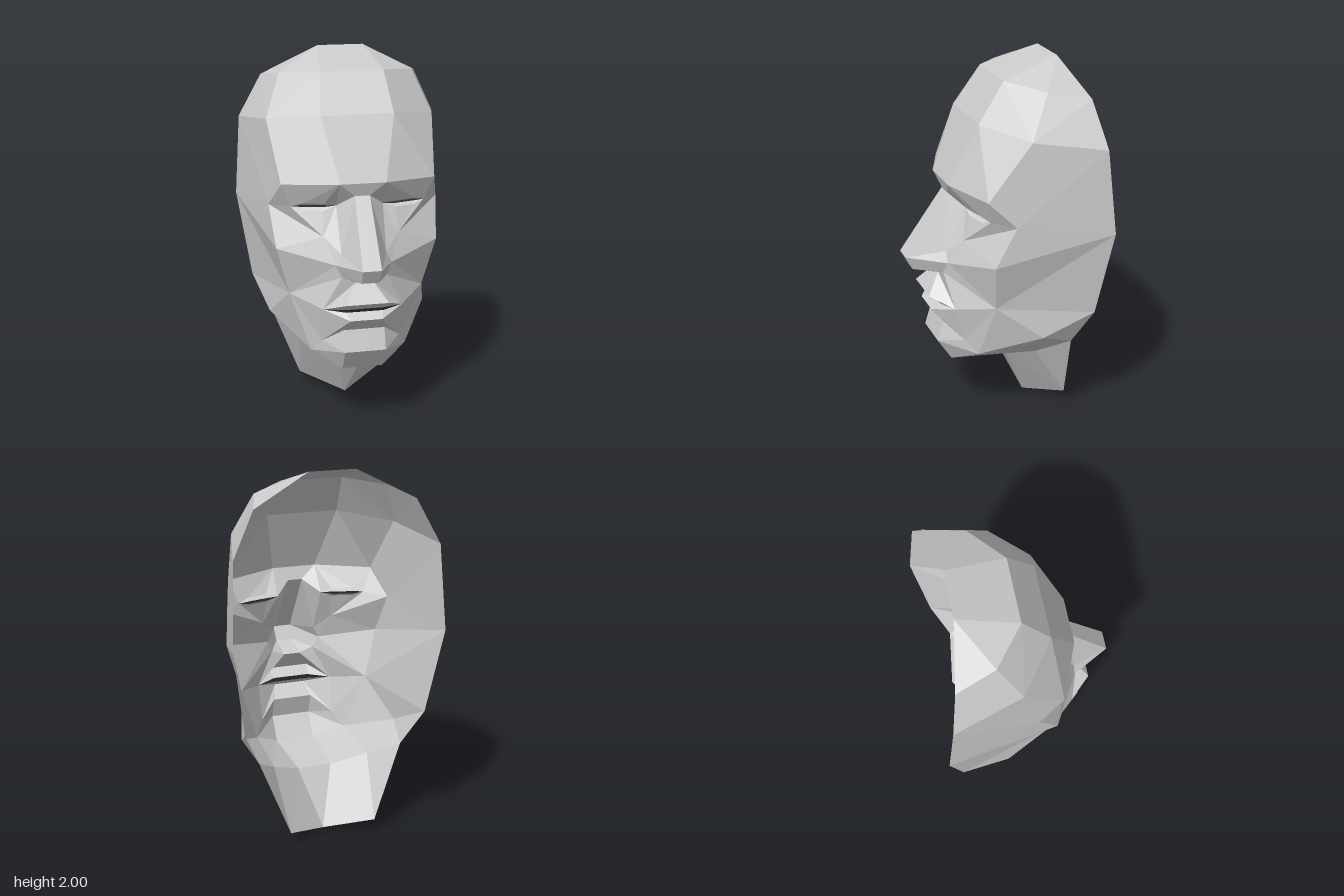
import * as THREE from 'three';

// Landmarks of the model's left half; every part is mirrored across x = 0.
const skull = {
  crown: [0.125, 2, -0.33], crownOuter: [0.43, 1.845, -0.39],
  hair: [0.17, 1.905, -0.022], hairOuter: [0.363, 1.88, -0.18],
  forehead: [0.195, 1.7, 0.12], temple: [0.45, 1.66, -0.067],
  sideTop: [0.55, 1.61, -0.435], sideMid: [0.572, 1.16, -0.482], sideLow: [0.5, 0.695, -0.415],
};
const eyes = {
  browIn: [0.122, 1.37, 0.265], browOut: [0.41, 1.357, 0.15],
  inner: [0.125, 1.235, 0.17], outer: [0.36, 1.23, 0.12], socketOut: [0.458, 1.22, 0.012],
  upper1: [0.19, 1.25, 0.18], upper2: [0.3, 1.25, 0.15],
  lower1: [0.19, 1.21, 0.17], lower2: [0.3, 1.21, 0.14],
  rimUp1: [0.19, 1.236, 0.155], rimUp2: [0.3, 1.236, 0.125],
  rimLow1: [0.19, 1.224, 0.15], rimLow2: [0.3, 1.224, 0.12],
};
const nose = {
  bridge: [0.04, 1.3, 0.243], tip: [0.05, 0.965, 0.48], tipLow: [0.045, 0.89, 0.442],
  wingTop: [0.12, 1, 0.28], wing: [0.15, 0.942, 0.28],
  wingLow: [0.12, 0.88, 0.295], base: [0.045, 0.85, 0.3],
};
const cheek = {
  front: [0.2, 1.08, 0.21], out: [0.435, 1.003, 0.12], low: [0.365, 0.74, 0.09],
};
const mouth = {
  corner: [0.213, 0.697, 0.262], upperLip: [0.115, 0.75, 0.376], upperIn: [0.1, 0.707, 0.32],
  lowerIn: [0.1, 0.688, 0.31], lowerLip: [0.085, 0.655, 0.355], crease: [0.11, 0.585, 0.295],
};
const jaw = {
  chinSide: [0.21, 0.505, 0.212], chinTop: [0.11, 0.47, 0.33], chinLow: [0.11, 0.35, 0.253],
  mid: [0.26, 0.43, 0.15], corner: [0.44, 0.56, -0.15],
  under: [0.095, 0.31, -0.075], underSide: [0.27, 0.39, -0.18],
};
const neck = {
  backTop: [0.4, 0.49, -0.33], back: [0.24, 0.08, -0.37], front: [0, 0, -0.215],
};

const material = new THREE.MeshStandardMaterial({
  color: 0xcccccc, flatShading: true, side: THREE.DoubleSide,
});

// Prepends the point of the midline level with the first point of a row
const fromMid = (...row) => [[0, row[0][1], row[0][2]], ...row];

// Skins neighbouring rows (top to bottom, points running outward) and mirrors them.
// Points may repeat in a row, which turns quads into triangles.
function part(group, name, ...rows) {
  const out = [];
  const tri = (p, q, r) => {
    if (p === q || q === r || p === r) return;
    out.push(...p, ...q, ...r);
    for (const v of [p, r, q]) out.push(-v[0], v[1], v[2]);
  };
  for (let i = 0; i + 1 < rows.length; i++) {
    const a = rows[i], b = rows[i + 1];
    for (let j = 0; j + 1 < a.length; j++) {
      tri(a[j], b[j], b[j + 1]);
      tri(a[j], b[j + 1], a[j + 1]);
    }
  }
  const geometry = new THREE.BufferGeometry();
  geometry.setAttribute('position', new THREE.Float32BufferAttribute(out, 3));
  geometry.computeVertexNormals();
  const mesh = new THREE.Mesh(geometry, material);
  mesh.name = name;
  group.add(mesh);
}

export function createModel() {
  const head = new THREE.Group();
  head.name = 'faceMask';
  const s = skull, e = eyes, n = nose, c = cheek, m = mouth, k = jaw;

  // Top of the head down to the brows
  part(head, 'forehead',
    fromMid(s.crown, s.crownOuter),
    fromMid(s.hair, s.hairOuter),
    fromMid(s.forehead, s.temple),
    fromMid(e.browIn, e.browOut));

  // Sides: outer rim, then the edge of the face, both running downward
  part(head, 'sides',
    [s.crownOuter, s.sideTop, s.sideTop, s.sideTop, s.sideMid, s.sideMid, s.sideMid, s.sideLow, s.sideLow],
    [s.hairOuter, s.temple, e.browOut, e.socketOut, e.socketOut, c.out, c.low, c.low, k.corner]);

  // Brow underside and eye sockets
  part(head, 'glabella', fromMid(e.browIn), fromMid(n.bridge));
  part(head, 'upperSockets',
    [n.bridge, e.browIn, e.browIn, e.browOut, e.browOut, e.browOut],
    [e.inner, e.inner, e.upper1, e.upper2, e.outer, e.socketOut]);
  part(head, 'lowerSockets',
    [e.inner, e.lower1, e.lower2, e.outer, e.socketOut, e.socketOut],
    [n.wingTop, c.front, c.front, c.front, c.front, c.out]);

  // Recessed lids around the open eye slits
  part(head, 'upperLids',
    [e.inner, e.upper1, e.upper2, e.outer], [e.inner, e.rimUp1, e.rimUp2, e.outer]);
  part(head, 'lowerLids',
    [e.inner, e.rimLow1, e.rimLow2, e.outer], [e.inner, e.lower1, e.lower2, e.outer]);

  // Nose ridge, tip, wings and underside
  part(head, 'nose',
    fromMid(n.bridge, e.inner),
    fromMid(n.tip, n.wingTop),
    fromMid(n.tipLow, n.wing),
    fromMid(n.base, n.wingLow));

  // Cheeks: outer chain, then inner chain
  part(head, 'cheeks',
    [c.front, c.front, c.out, c.low, c.low, c.low],
    [n.wingTop, n.wing, n.wing, n.wing, n.wingLow, m.corner]);

  // Lips, open between the two parts
  part(head, 'upperLip',
    fromMid(n.base, n.wingLow),
    fromMid(m.upperLip, m.corner),
    fromMid(m.upperIn, m.corner));
  part(head, 'lowerLip',
    fromMid(m.lowerIn, m.corner),
    fromMid(m.lowerLip, m.corner),
    fromMid(m.crease, k.chinSide));

  // Chin and jaw
  part(head, 'chin',
    fromMid(m.crease, k.chinSide),
    fromMid(k.chinTop, k.chinSide),
    fromMid(k.chinLow, k.mid));
  part(head, 'jawSides',
    [c.low, c.low, k.corner],
    [m.corner, k.chinSide, k.mid]);
  part(head, 'jawUnderside',
    fromMid(k.chinLow, k.mid, k.corner, s.sideLow),
    fromMid(k.under, k.underSide, k.underSide, neck.backTop));

  // Neck tapering to a point in front
  part(head, 'neck',
    fromMid(k.under, k.underSide, neck.backTop),
    [neck.front, neck.front, neck.back, neck.back]);

  return head;
}
